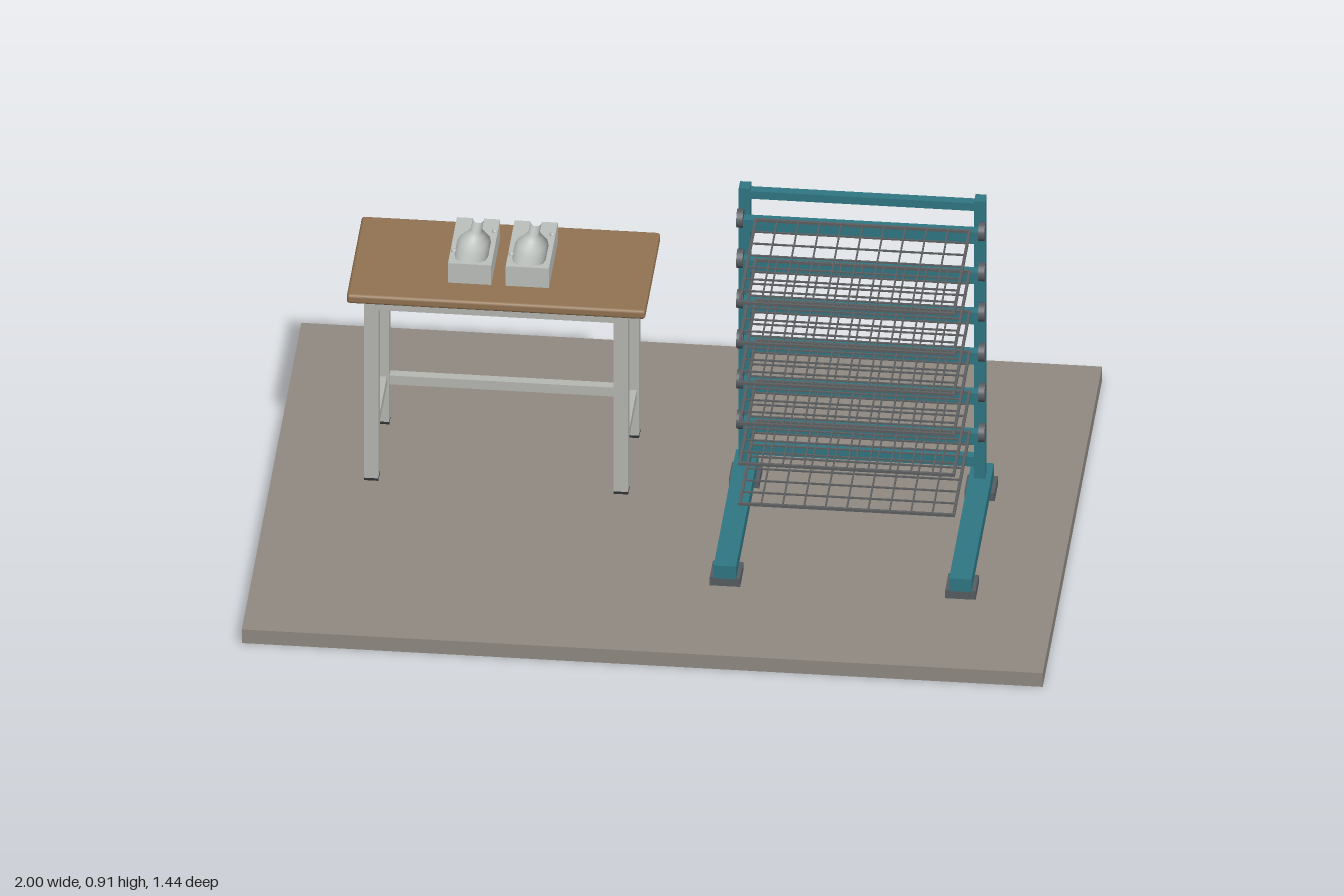
import * as THREE from 'three';
import { mergeGeometries } from 'three/addons/utils/BufferGeometryUtils.js';
import { RoundedBoxGeometry } from 'three/addons/geometries/RoundedBoxGeometry.js';

const material = (name, color, side = THREE.FrontSide) => {
  const m = new THREE.MeshStandardMaterial({ color, side });
  m.name = name;
  return m;
};

export function createModel() {
  const concrete = material('concrete', 0x908a82);
  const wood = material('wood', 0x917352);
  const paleMetal = material('pale metal', 0xb6b8b2);
  const teal = material('teal paint', 0x2f7683);
  const darkGrey = material('dark grey', 0x565c62);
  const wireGrey = material('wire grey', 0x5c5e60);
  const plaster = material('plaster', 0xbcc0bd, THREE.DoubleSide);
  const rubber = material('rubber', 0x303234);

  const model = new THREE.Group();
  model.name = 'workshopDisplay';

  const group = (name, parent = model) => {
    const g = new THREE.Group();
    g.name = name;
    parent.add(g);
    return g;
  };
  const add = (parent, name, geometry, mat, x = 0, y = 0, z = 0) => {
    const mesh = new THREE.Mesh(geometry, mat);
    mesh.name = name;
    mesh.position.set(x, y, z);
    parent.add(mesh);
    return mesh;
  };
  // Box given by its low and high limits on each axis
  const box = (parent, name, mat, x0, x1, y0, y1, z0, z1) =>
    add(parent, name, new THREE.BoxGeometry(x1 - x0, y1 - y0, z1 - z0), mat,
      (x0 + x1) / 2, (y0 + y1) / 2, (z0 + z1) / 2);

  box(model, 'floor', concrete, -1, 1, 0, 0.04, -0.72, 0.72);

  // Work table
  const table = group('table');
  add(table, 'tableTop', new RoundedBoxGeometry(0.746, 0.026, 0.374, 2, 0.008), wood, -0.437, 0.589, -0.157);
  const legX = [-0.752, -0.128], legZ = [-0.288, -0.023], half = 0.018;
  for (const x of legX) {
    for (const z of legZ) {
      box(table, 'tableLeg', paleMetal, x - half, x + half, 0.047, 0.576, z - half, z + half);
      box(table, 'tableFoot', rubber, x - half, x + half, 0.04, 0.047, z - half, z + half);
    }
    box(table, 'sideApron', paleMetal, x - 0.012, x + 0.012, 0.537, 0.576, legZ[0] + half, legZ[1] - half);
    box(table, 'sideStretcher', paleMetal, x - 0.012, x + 0.012, 0.154, 0.18, legZ[0] + half, legZ[1] - half);
  }
  for (const z of legZ)
    box(table, 'longApron', paleMetal, legX[0] + half, legX[1] - half, 0.537, 0.576, z - 0.012, z + 0.012);
  box(table, 'backStretcher', paleMetal, legX[0] + half, legX[1] - half, 0.154, 0.18, legZ[0] - 0.012, legZ[0] + 0.012);

  // Casting moulds with a half-bottle cavity opening at the back
  const w = 0.054, d = 0.108, h = 0.057, neck = 0.014;
  const profile = [[0, -0.1], [0.025, -0.097], [0.038, -0.086], [0.042, -0.066], [0.042, 0],
    [0.037, 0.025], [0.022, 0.047], [neck, 0.06], [neck, d]].map(p => new THREE.Vector2(...p));
  const rim = new THREE.Shape([
    new THREE.Vector2(-w, -d), new THREE.Vector2(w, -d), new THREE.Vector2(w, d),
    ...[...profile].reverse(),
    ...profile.slice(1).map(p => new THREE.Vector2(-p.x, p.y)),
    new THREE.Vector2(-w, d),
  ]);
  const end = new THREE.Shape();
  end.moveTo(-w, 0).lineTo(w, 0).lineTo(w, h).lineTo(neck, h);
  end.absarc(0, h, neck, 0, -Math.PI, true);
  end.lineTo(-w, h);
  const mouldGeometry = mergeGeometries([
    new THREE.ShapeGeometry(rim).rotateX(-Math.PI / 2).translate(0, h, 0),
    new THREE.ShapeGeometry(end).rotateY(Math.PI).translate(0, 0, -d),
    new THREE.LatheGeometry(profile, 16, Math.PI / 2, Math.PI).rotateX(-Math.PI / 2).translate(0, h, 0),
    new THREE.PlaneGeometry(2 * w, h).translate(0, h / 2, d),
    new THREE.PlaneGeometry(2 * d, h).rotateY(Math.PI / 2).translate(w, h / 2, 0),
    new THREE.PlaneGeometry(2 * d, h).rotateY(-Math.PI / 2).translate(-w, h / 2, 0),
    new THREE.PlaneGeometry(2 * w, 2 * d).rotateX(Math.PI / 2),
  ]);
  for (const x of [-0.511, -0.367]) {
    const mould = group('mould', table);
    mould.position.set(x, 0.602, -0.162);
    add(mould, 'mouldBlock', mouldGeometry, plaster);
    for (const s of [-1, 1])
      add(mould, 'alignmentPeg', new THREE.SphereGeometry(0.007, 10, 6), plaster, s * 0.046, h, -s * 0.05);
  }

  // Drying rack frame
  const rack = group('rack');
  const midX = 0.467;
  for (const s of [-1, 1]) {
    const x = midX + s * 0.294;
    box(rack, 'baseBeam', teal, x - 0.028, x + 0.028, 0.063, 0.1, -0.148, 0.398);
    box(rack, 'frontPad', darkGrey, x - 0.038, x + 0.038, 0.04, 0.064, 0.317, 0.396);
    box(rack, 'backPad', darkGrey, x - 0.038, x + 0.038, 0.04, 0.064, -0.146, -0.067);
    box(rack, 'post', teal, x - 0.014, x + 0.014, 0.1, 0.913, -0.107, -0.073);
  }
  box(rack, 'topRail', teal, midX - 0.28, midX + 0.28, 0.88, 0.902, -0.104, -0.08);
  box(rack, 'bottomRail', teal, midX - 0.28, midX + 0.28, 0.13, 0.158, -0.104, -0.08);

  // Wire shelves, each hinged on a cross beam
  const wire = (parent, name, x0, x1, z0, z1, t) =>
    box(parent, name, wireGrey, x0 - t, x1 + t, -t, t, z0 - t, z1 + t);
  const x0 = 0.204, x1 = 0.738, z0 = -0.05, z1 = 0.338, columns = 10, rows = 7;
  for (let i = 0; i < 6; i++) {
    const y = 0.248 + i * 0.118;
    const shelf = group('shelf', rack);
    shelf.position.y = y;
    box(shelf, 'shelfBeam', teal, midX - 0.296, midX + 0.296, -0.034, 0, -0.073, -0.047);
    for (const s of [-1, 1]) {
      const hinge = add(shelf, 'hingeDisc', new THREE.CylinderGeometry(0.024, 0.024, 0.016, 20), darkGrey,
        midX + s * 0.302, 0, -0.054);
      hinge.rotation.z = Math.PI / 2;
    }
    for (let c = 0; c <= columns; c++) {
      const x = x0 + (x1 - x0) * c / columns;
      wire(shelf, 'lengthWire', x, x, z0, z1, c % columns ? 0.002 : 0.0035);
    }
    for (let r = 0; r <= rows; r++) {
      const z = z0 + (z1 - z0) * r / rows;
      wire(shelf, 'crossWire', x0, x1, z, z, r % rows ? 0.002 : 0.0035);
    }
  }
  return model;
}
